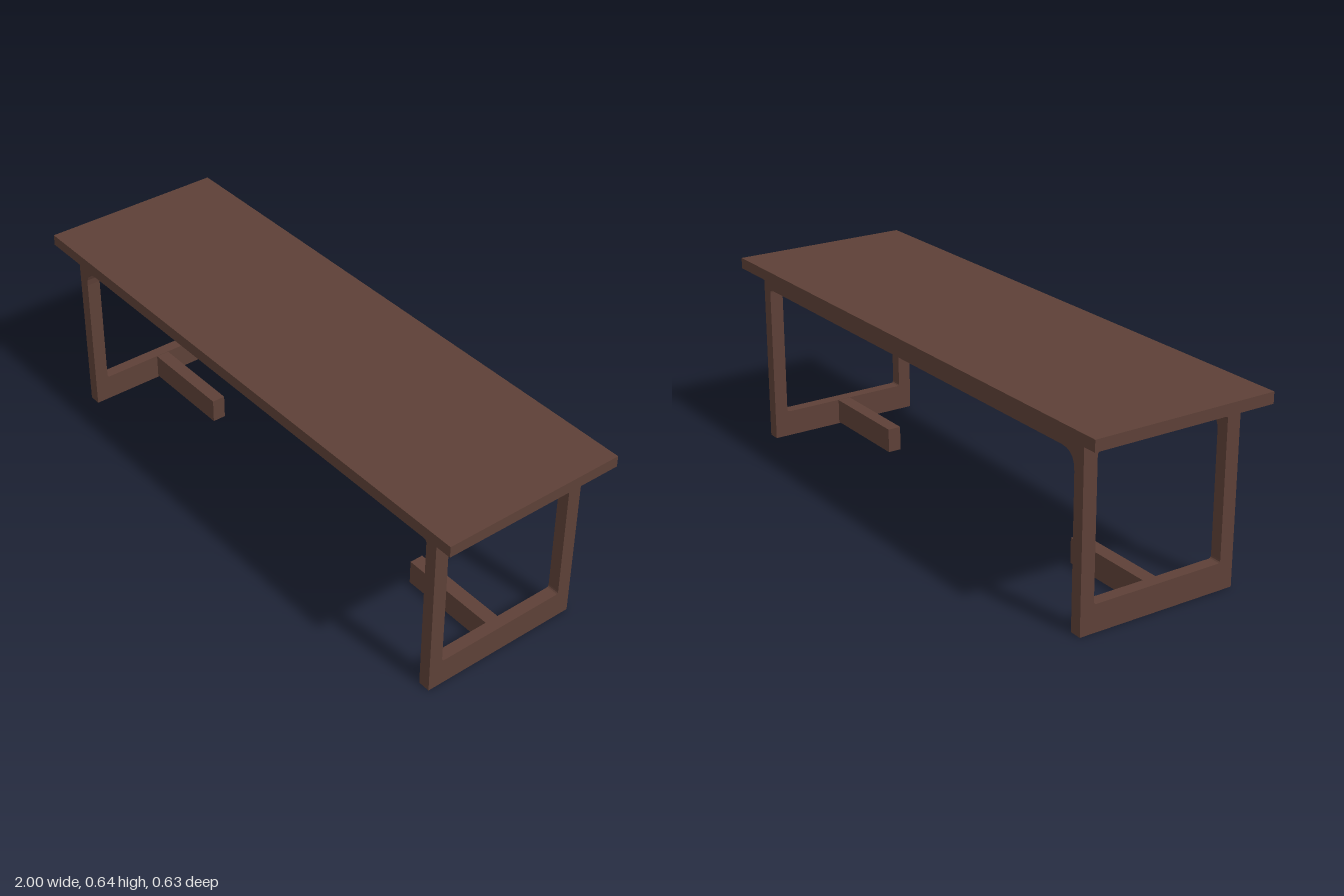
import * as THREE from 'three';

const wood = new THREE.MeshStandardMaterial({ color: 0x5d4037 });
wood.name = 'dark brown wood';

function box(name, w, h, d, x, y, z) {
  const mesh = new THREE.Mesh(new THREE.BoxGeometry(w, h, d), wood);
  mesh.name = name;
  mesh.position.set(x, y, z);
  return mesh;
}

// Rectangular end frame with a softly rounded opening, drawn in z/y
function endFrame() {
  const shape = new THREE.Shape();
  shape.moveTo(-0.279, 0).lineTo(0.279, 0).lineTo(0.279, 0.6).lineTo(-0.279, 0.6).closePath();
  const a = 0.232, b = 0.09, t = 0.551, r = 0.01;
  const hole = new THREE.Path();
  hole.moveTo(-a + r, b).lineTo(a - r, b).quadraticCurveTo(a, b, a, b + r);
  hole.lineTo(a, t - r).quadraticCurveTo(a, t, a - r, t);
  hole.lineTo(-a + r, t).quadraticCurveTo(-a, t, -a, t - r);
  hole.lineTo(-a, b + r).quadraticCurveTo(-a, b, -a + r, b);
  shape.holes.push(hole);
  const geo = new THREE.ExtrudeGeometry(shape, { depth: 0.041, bevelEnabled: false, curveSegments: 3 });
  geo.translate(0, 0, -0.0205).rotateY(Math.PI / 2);
  return new THREE.Mesh(geo, wood);
}

// Curved bracket where a post meets the apron
function bracket(size) {
  const s = new THREE.Shape();
  s.moveTo(0, 0).lineTo(0, -size).quadraticCurveTo(0, 0, size, 0);
  const geo = new THREE.ExtrudeGeometry(s, { depth: 0.047, bevelEnabled: false, curveSegments: 5 });
  geo.translate(0, 0, -0.0235);
  return new THREE.Mesh(geo, wood);
}

export function createModel() {
  const table = new THREE.Group();
  table.name = 'table';

  table.add(box('tableTop', 2, 0.037, 0.63, 0, 0.6185, 0));
  table.add(box('apron', 1.736, 0.049, 0.558, 0, 0.5755, 0));

  for (const side of [-1, 1]) {
    const label = side > 0 ? 'left' : 'right';
    const frame = endFrame();
    frame.name = label + 'EndFrame';
    frame.position.x = side * 0.8865;
    table.add(frame);

    // Low foot reaching inward from the middle of the bottom rail
    table.add(box(label + 'Foot', 0.346, 0.084, 0.047, side * 0.696, 0.047, 0));

    // Brackets: larger on the right end
    for (const z of [-0.2555, 0.2555]) {
      const b = bracket(side < 0 ? 0.06 : 0.012);
      b.name = label + 'Bracket';
      if (side > 0) b.rotation.y = Math.PI;
      b.position.set(side * 0.866, 0.551, z);
      table.add(b);
    }
  }
  return table;
}
